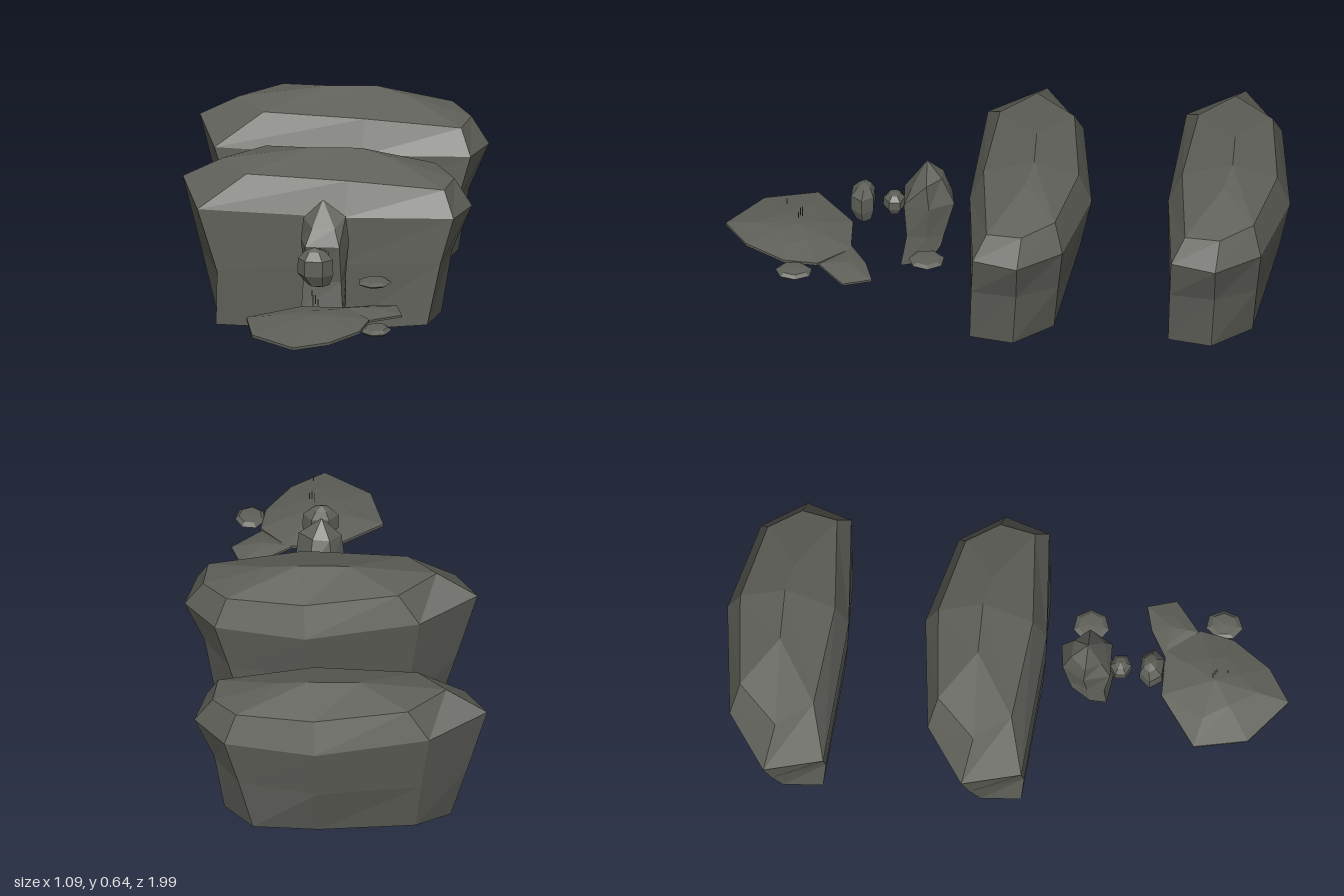
import * as THREE from 'three';

const stone = new THREE.MeshStandardMaterial({ color: 0x60605a });
stone.name = 'weathered stone';

// Faceted solid through stacked rings (bottom to top), closed by a base point and an optional tip.
function loft(name, rings, base, tip) {
  const pos = [];
  const tri = (...pts) => {
    const [a, b, c] = pts.map((p) => new THREE.Vector3(...p));
    if (b.sub(a).cross(c.sub(a)).length() > 1e-9) pts.forEach((p) => pos.push(...p));
  };
  const n = rings[0].length;
  for (let i = 0; i < n; i++) {
    const j = (i + 1) % n;
    tri(base, rings[0][i], rings[0][j]);
    for (let k = 0; k + 1 < rings.length; k++) {
      const a = rings[k], b = rings[k + 1];
      tri(a[i], b[i], a[j]);
      tri(b[i], b[j], a[j]);
    }
    const top = rings[rings.length - 1];
    if (tip) tri(top[i], tip, top[j]);
  }
  const geo = new THREE.BufferGeometry();
  geo.setAttribute('position', new THREE.Float32BufferAttribute(pos, 3));
  geo.computeVertexNormals();
  const mesh = new THREE.Mesh(geo, stone);
  mesh.name = name;
  return mesh;
}

// Regular ring: centre x, y, z, radii and rotation, running clockwise seen from above.
function ring(n, x, y, z, rx, rz, turn = 0) {
  return Array.from({ length: n }, (_, i) => {
    const t = turn + (i / n) * Math.PI * 2;
    return [x - rx * Math.cos(t), y, z - rz * Math.sin(t)];
  });
}

// Rings run left edge, back left, back, back right, right edge, front right, front, front left.
function boulder(name) {
  const bottom = [[-.36, .04, -.03], [-.24, .075, -.15], [.1, .085, -.2], [.33, .085, -.19],
    [.435, .075, -.055], [.41, .075, .1], [.1, .045, .12], [-.34, .04, .11]];
  const middle = [[-.42, .26, -.06], [-.26, .27, -.19], [.1, .28, -.26], [.38, .29, -.21],
    [.47, .3, -.07], [.455, .3, .09], [.1, .29, .13], [-.335, .24, .12]];
  const shoulder = [[-.49, .52, -.08], [-.29, .5, -.23], [.11, .475, -.3], [.43, .47, -.23],
    [.54, .465, -.08], [.5, .465, .08], [.12, .465, .13], [-.405, .465, .12]];
  const brow = [[-.345, .6, -.06], [-.215, .605, -.205], [.115, .59, -.255], [.39, .575, -.2],
    [.475, .56, -.09], [.46, .555, .035], [.125, .585, .08], [-.24, .585, .06]];
  const l = [-.04, .645, -.09], m = [.14, .65, -.1], r = [.25, .628, -.08];
  return loft(name, [bottom, middle, shoulder, brow, [l, l, m, r, r, r, m, l]], [.06, .005, -.055]);
}

// Thin plate from an outline of [x, z, y] that rises in a low dome to its peak.
function plate(name, outline, peak, thick, rise) {
  const lower = outline.map(([x, z, y]) => [x, y - thick, z]);
  const upper = outline.map(([x, z, y]) => [x, y, z]);
  const inner = upper.map((p, i) => {
    const k = 0.5 + (i % 2 ? 0.08 : -0.08);
    return p.map((v, a) => v + (peak[a] - v) * k + (a === 1 ? rise : 0));
  });
  return loft(name, [lower, upper, inner], [peak[0], lower[0][1], peak[2]], peak);
}

export function createModel() {
  const group = new THREE.Group();

  // Two matching boulders, one behind the other
  const back = boulder('backBoulder');
  back.position.set(-.055, 0, -.695);
  group.add(boulder('frontBoulder'), back);

  // Pointed standing stone
  group.add(loft('standingStone', [
    [[0, .21, .30], [.02, .26, .235], [.13, .26, .23], [.15, .2, .27], [.155, .18, .37], [.005, .2, .36]],
    [[.005, .3, .29], [.03, .3, .22], [.12, .3, .22], [.15, .3, .28], [.145, .3, .35], [.01, .3, .35]],
    [[-.01, .43, .28], [.03, .43, .2], [.11, .43, .185], [.16, .43, .27], [.14, .43, .36], [.02, .43, .37]],
    [[0, .51, .285], [.04, .52, .23], [.1, .525, .23], [.15, .52, .28], [.12, .49, .335], [.04, .49, .335]],
  ], [.07, .173, .3], [.07, .58, .285]));

  // Small floating rocks in front of the standing stone
  group.add(loft('largerRock', [
    ring(6, .09, .34, .505, .04, .03),
    ring(6, .08, .38, .51, .064, .046),
    ring(6, .08, .435, .51, .062, .045),
    ring(6, .078, .463, .505, .035, .024),
  ], [.09, .33, .505], [.076, .475, .505]));
  group.add(loft('smallerRock', [
    ring(6, .075, .36, .4, .028, .024, .4),
    ring(6, .073, .385, .4, .043, .04, .4),
    ring(6, .073, .415, .4, .042, .038, .4),
    ring(6, .073, .432, .4, .025, .02, .4),
  ], [.075, .35, .4], [.073, .438, .4]));

  // Flat slabs
  group.add(plate('largeSlab', [[-.135, .69, .266], [.035, .55, .27], [.2, .54, .272], [.295, .65, .268],
    [.28, .77, .262], [.195, .91, .262], [.08, .995, .264], [-.085, .875, .264]], [.11, .3, .73], .01, .004));
  group.add(plate('cornerSlab', [[.18, .54, .27], [.27, .48, .263], [.36, .45, .258],
    [.395, .55, .257], [.29, .645, .262]], [.29, .278, .55], .008, .002));

  // Low pebbles beside the slabs
  const pebbles = [['sidePebble', .25, .268, .268, .06, .064, .022], ['slabPebble', .333, .243, .728, .054, .066, .027]];
  for (const [name, x, y, z, rx, rz, h] of pebbles) {
    group.add(loft(name, [
      ring(7, x, y + h * .1, z, rx * .75, rz * .75, .3),
      ring(7, x, y + h * .5, z, rx, rz, .3),
      ring(7, x, y + h * .9, z, rx * .75, rz * .72, .3),
    ], [x, y, z], [x, y + h, z]));
  }

  // Tiny slivers hovering above the large slab
  const slivers = [[.107, .352, .722, .04], [.117, .358, .728, .032], [.126, .35, .734, .024], [.113, .397, .775, .022]];
  for (const [x, y, z, h] of slivers) {
    const sliver = new THREE.Mesh(new THREE.BoxGeometry(.003, h, .003), stone);
    sliver.name = 'sliver';
    sliver.position.set(x, y, z);
    group.add(sliver);
  }
  return group;
}
